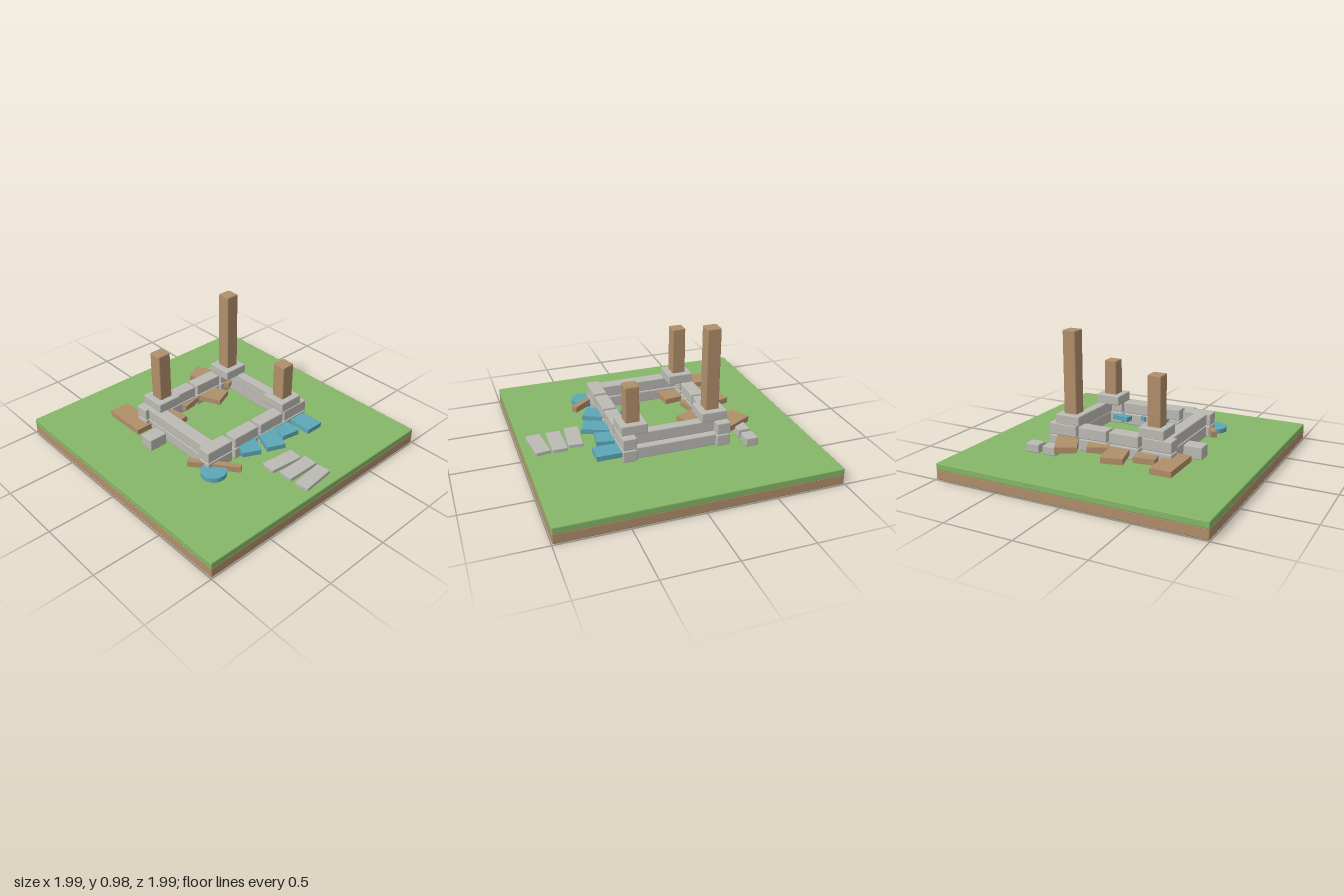
import * as THREE from 'three';
import { RoundedBoxGeometry } from 'three/addons/geometries/RoundedBoxGeometry.js';

const material = (name, color) => {
  const m = new THREE.MeshStandardMaterial({ color });
  m.name = name;
  return m;
};

export function createModel() {
  const model = new THREE.Group();
  model.name = 'ruinedFoundation';
  const grass = material('grass', 0x86b768);
  const wood = material('wood', 0xb08f6a);
  const stone = material('stone', 0xbcbab4);
  const tile = material('blueTile', 0x5da7b6);

  // Softly bevelled block given by its x, y and z ranges, turned about its centre
  function block(name, mat, [x0, x1], [y0, y1], [z0, z1], turn = 0) {
    const h = y1 - y0;
    const mesh = new THREE.Mesh(
      new RoundedBoxGeometry(x1 - x0, h, z1 - z0, 1, Math.min(0.008, h * 0.2)), mat);
    mesh.position.set((x0 + x1) / 2, (y0 + y1) / 2, (z0 + z1) / 2);
    mesh.rotation.y = turn;
    mesh.name = name;
    model.add(mesh);
    return mesh;
  }

  // Sharp slab given by centre, size and turn
  function slab(name, mat, x, y, z, w, h, d, turn = 0) {
    const mesh = new THREE.Mesh(new THREE.BoxGeometry(w, h, d), mat);
    mesh.position.set(x, y, z);
    mesh.rotation.y = turn;
    mesh.name = name;
    model.add(mesh);
    return mesh;
  }

  // Ground plate
  block('dirtBase', wood, [-0.995, 0.995], [0, 0.075], [-0.995, 0.995]);
  block('grassTop', grass, [-0.995, 0.995], [0.07, 0.12], [-0.995, 0.995]);

  // Front and back walls: two courses of four blocks
  const courses = [[0.14, 0.226], [0.23, 0.315]];
  const columns = [[-0.48, -0.26], [-0.235, -0.01], [0.01, 0.235], [0.25, 0.475]];
  for (const z of [[0.29, 0.39], [-0.39, -0.29]]) {
    for (const y of courses) {
      for (const x of columns) block('wallBlock', stone, x, y, z);
    }
  }

  // Side walls: long courses
  block('leftWallLower', stone, [0.35, 0.45], courses[0], [-0.3, 0.3]);
  block('leftWallUpper', stone, [0.34, 0.41], courses[1], [-0.3, 0.3]);
  for (const y of courses) block('rightWall', stone, [-0.45, -0.355], y, [-0.32, 0.3]);

  // Posts on square footings
  for (const [x, z, top] of [[-0.325, -0.29, 0.737], [0.325, -0.29, 0.978], [0.325, 0.29, 0.645]]) {
    block('postFooting', stone, [x - 0.095, x + 0.095], [0.31, 0.383], [z - 0.095, z + 0.095]);
    block('post', wood, [x - 0.05, x + 0.05], [0.37, top], [z - 0.05, z + 0.05]);
  }

  // Fallen boards behind the wall: x, y, z, turn
  for (const [x, y, z, turn] of [
    [-0.497, 0.18, -0.435, 0], [-0.3, 0.187, -0.315, 0.13], [-0.1, 0.193, -0.43, 0.245],
    [0.1, 0.2, -0.315, 0.41], [0.295, 0.207, -0.435, 0.485],
  ]) slab('fallenBoard', wood, x, y, z, 0.153, 0.042, 0.332, turn);

  // Fallen blue tiles before the wall
  for (const [x, y, z, turn] of [
    [-0.11, 0.214, 0.37, -0.47], [0.06, 0.206, 0.425, -0.395],
    [0.22, 0.197, 0.375, -0.16], [0.387, 0.195, 0.43, 0],
  ]) slab('fallenTile', tile, x, y, z, 0.136, 0.036, 0.27, turn);

  // Leaning beam and round disc at the front corner
  slab('fallenBeam', wood, -0.422, 0.188, 0.385, 0.042, 0.045, 0.37, 0.65);
  const disc = new THREE.Mesh(new THREE.CylinderGeometry(0.09, 0.09, 0.034, 16), tile);
  disc.position.set(-0.465, 0.174, 0.425);
  disc.name = 'roundDisc';
  model.add(disc);

  // Loose rubble
  block('rubble', stone, [-0.61, -0.47], [0.14, 0.232], [-0.18, -0.07]);
  block('rubble', stone, [0.31, 0.415], [0.14, 0.205], [-0.57, -0.48]);
  block('rubble', stone, [0.445, 0.55], [0.14, 0.205], [-0.57, -0.48]);

  // Stepping stones
  for (const [x, z, turn] of [[-0.002, 0.617, -0.1], [0.024, 0.745, 0], [0.024, 0.877, 0.11]]) {
    block('steppingStone', stone, [x - 0.13, x + 0.13], [0.115, 0.146], [z - 0.054, z + 0.054], turn);
  }

  return model;
}
